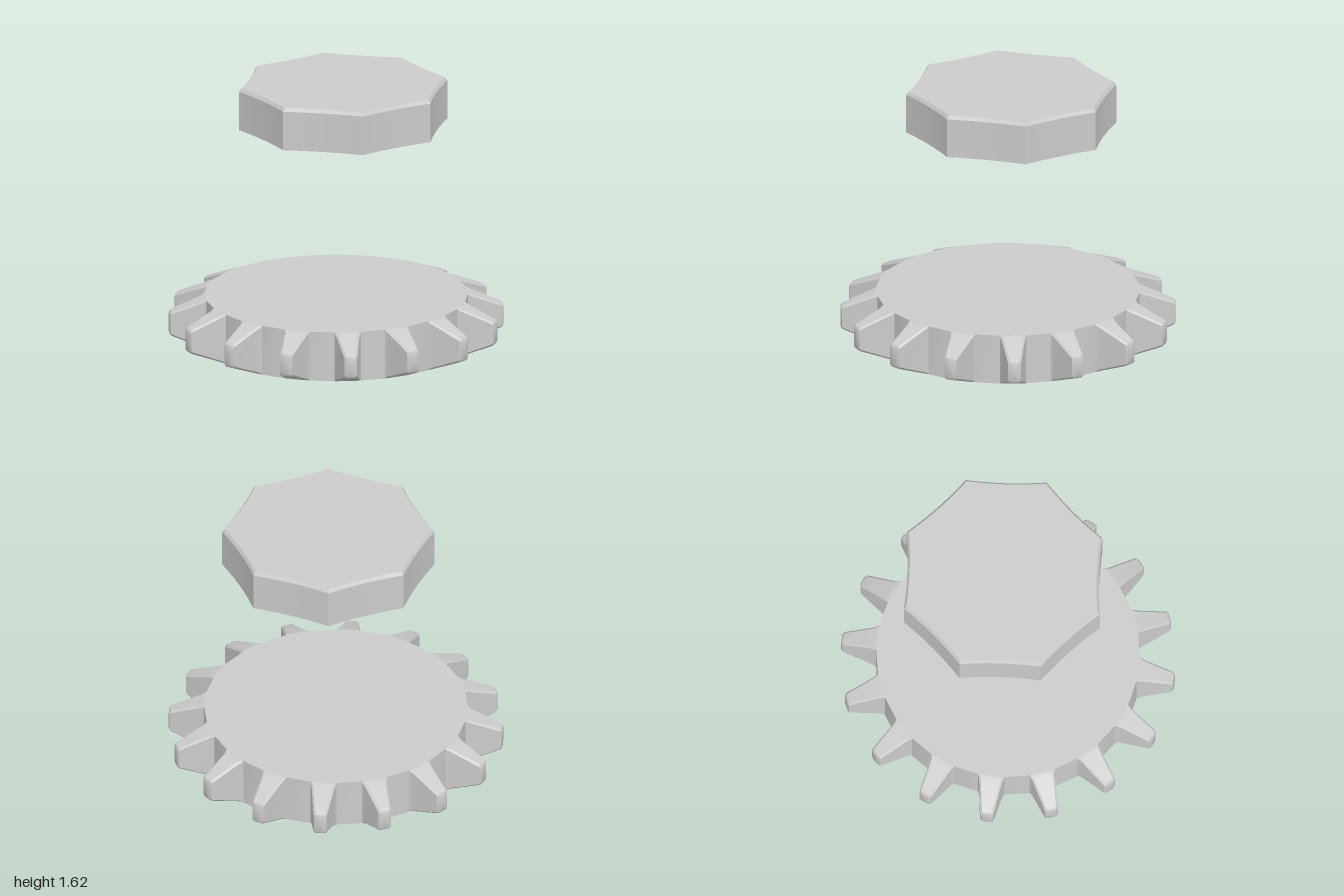
import * as THREE from 'three';
import { toCreasedNormals } from 'three/addons/utils/BufferGeometryUtils.js';

const TEETH = 16, HEIGHT = 0.305, ROOT_R = 0.787;

// Joins equal-length rings of points into a skin and closes the last ring.
function loft(rings, crease) {
  const n = rings[0].length, index = [];
  const points = rings.flat();
  for (let r = 0; r < rings.length - 1; r++) {
    for (let i = 0; i < n; i++) {
      const j = (i + 1) % n;
      const a = r * n + i, b = r * n + j, c = a + n, d = b + n;
      index.push(a, c, d, a, d, b);
    }
  }
  const last = rings[rings.length - 1];
  const centre = new THREE.Vector3();
  last.forEach((p) => centre.addScaledVector(p, 1 / n));
  points.push(centre);
  const base = (rings.length - 1) * n;
  for (let i = 0; i < n; i++) index.push(points.length - 1, base + (i + 1) % n, base + i);
  const geometry = new THREE.BufferGeometry().setFromPoints(points);
  geometry.setIndex(index);
  return toCreasedNormals(geometry, crease);
}

// Rectangle with cut corners, standing across the x axis.
function toothSection(x, w, h, c) {
  return [
    [w, -h + c], [w, h - c], [w - c, h], [-w + c, h],
    [-w, h - c], [-w, -h + c], [-w + c, -h], [w - c, -h],
  ].map(([z, y]) => new THREE.Vector3(x, y, z));
}

// Octagon with slightly hollowed sides, lying flat at height y.
function octagonRing(y, inset) {
  const half = 0.585 - inset, corner = half * Math.tan(Math.PI / 8), steps = 6;
  const ring = [];
  for (let s = 0; s < 8; s++) {
    for (let k = 0; k < steps; k++) {
      const u = (k / steps) * 2 - 1;
      const r = half - 0.013 * (1 - u * u);
      const a = s * Math.PI / 4;
      ring.push(new THREE.Vector3(
        r * Math.cos(a) - u * corner * Math.sin(a), y,
        r * Math.sin(a) + u * corner * Math.cos(a)));
    }
  }
  return ring;
}

export function createModel() {
  const model = new THREE.Group();
  const grey = new THREE.MeshStandardMaterial({ color: 0xcccccc });
  const greyThin = new THREE.MeshStandardMaterial({ color: 0xcccccc, side: THREE.DoubleSide });

  // Gear wheel: solid disc with a ring of tapered teeth
  const gear = new THREE.Group();
  gear.name = 'gear';
  gear.position.y = HEIGHT / 2;
  const disc = new THREE.Mesh(
    toCreasedNormals(new THREE.CylinderGeometry(ROOT_R, ROOT_R, HEIGHT, TEETH * 2), 0.4), grey);
  disc.name = 'gearDisc';
  gear.add(disc);

  const toothGeometry = loft([
    toothSection(0.765, 0.088, 0.1515, 0.004),
    toothSection(0.785, 0.078, 0.152, 0.006),
    toothSection(0.81, 0.069, 0.143, 0.01),
    toothSection(0.982, 0.042, 0.077, 0.012),
    toothSection(0.994, 0.038, 0.07, 0.012),
    toothSection(1.0, 0.028, 0.06, 0.01),
  ], 0.6);
  for (let i = 0; i < TEETH; i++) {
    const tooth = new THREE.Mesh(toothGeometry, grey);
    tooth.name = 'gearTooth';
    tooth.rotation.y = -THREE.MathUtils.degToRad(5.5) - i * 2 * Math.PI / TEETH;
    gear.add(tooth);
  }
  model.add(gear);

  // Hollow octagonal cap floating above, open underneath
  const cap = new THREE.Mesh(loft([
    octagonRing(1.355, 0), octagonRing(1.595, 0), octagonRing(1.615, 0.014),
  ], 0.5), greyThin);
  cap.name = 'octagonalCap';
  cap.position.set(0.037, 0, -0.03);
  model.add(cap);

  return model;
}
